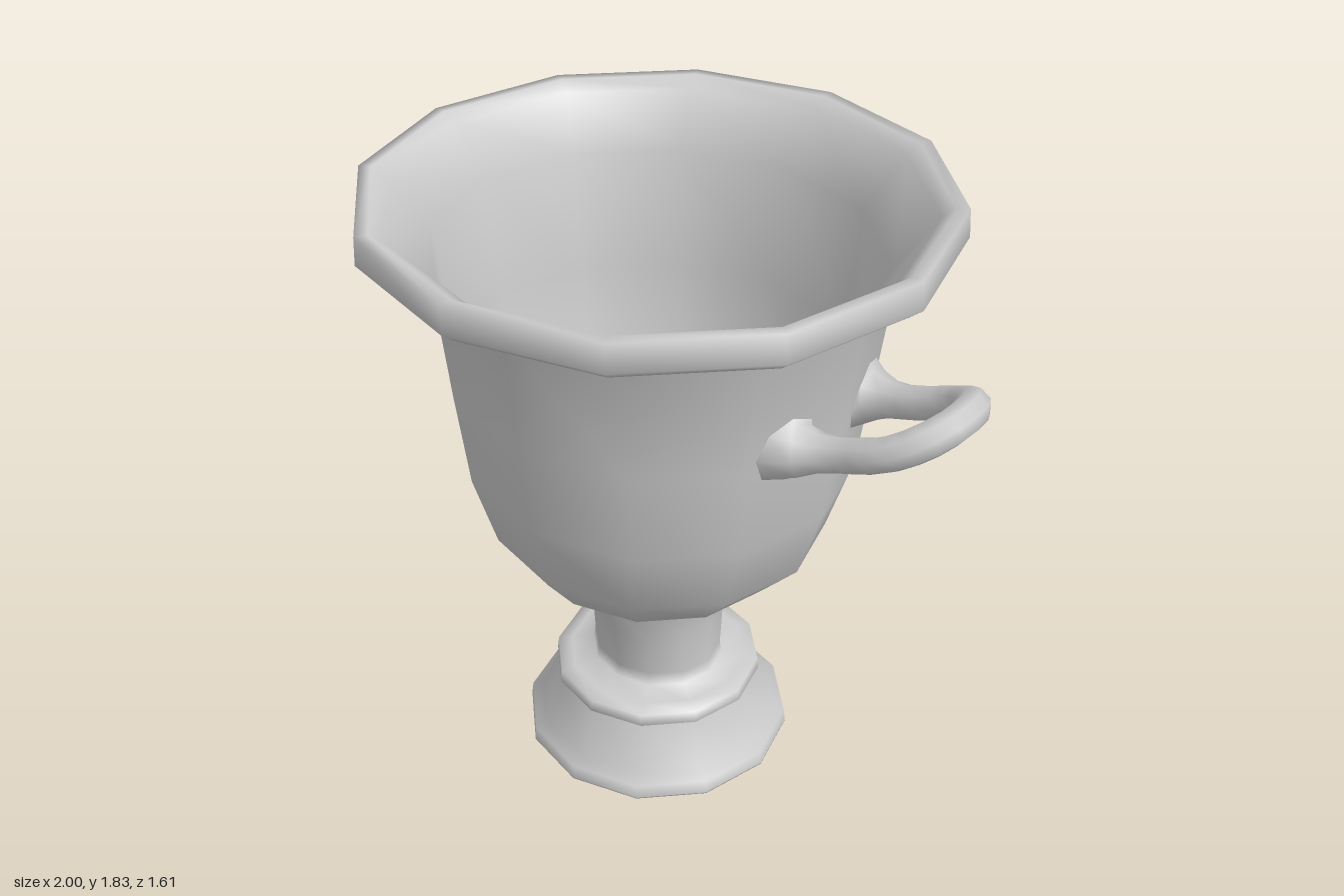
import * as THREE from 'three';
import { mergeVertices } from 'three/addons/utils/BufferGeometryUtils.js';

const material = new THREE.MeshStandardMaterial({ color: 0xcccccc, side: THREE.DoubleSide });
const SIDES = 12;

// Joins seams and shades the whole surface smoothly.
function smoothMesh(name, geometry) {
  geometry.deleteAttribute('uv');
  geometry.deleteAttribute('normal');
  const geo = mergeVertices(geometry, 1e-4);
  geo.computeVertexNormals();
  const mesh = new THREE.Mesh(geo, material);
  mesh.name = name;
  return mesh;
}

// Turned part from rows of [radius, height, depth factor], outside upwards.
function turned(name, profile) {
  const geo = new THREE.LatheGeometry(profile.map(([r, y]) => new THREE.Vector2(r, y)), SIDES);
  const p = geo.attributes.position;
  for (let i = 0; i < p.count; i++) {
    const depth = profile[i % profile.length][2] ?? 1;
    p.setZ(i, p.getZ(i) * depth);
  }
  return smoothMesh(name, geo);
}

// Distance of the bowl's faceted side wall from the middle, near the handles
const wallX = (y, z) => 0.61 + (y - 1.3) * 0.129 - 0.287 * Math.abs(z);

// Looped handle: a tube whose ends swell and stop at the bowl's wall.
function handle(name, side) {
  const half = [
    [0.555, 1.335, 0.172], [0.63, 1.35, 0.163], [0.72, 1.375, 0.154],
    [0.84, 1.425, 0.147], [0.925, 1.48, 0.095],
  ];
  const points = [...half, [0.952, 1.5, 0], ...half.map(([x, y, z]) => [x, y, -z]).reverse()];
  const path = new THREE.CatmullRomCurve3(points.map(([x, y, z]) => new THREE.Vector3(x * side, y, z)));
  const steps = 20, around = 8;
  const geo = new THREE.TubeGeometry(path, steps, 0.048, around);
  const p = geo.attributes.position;
  const v = new THREE.Vector3();
  for (let i = 0; i <= steps; i++) {
    const c = path.getPointAt(i / steps);
    const t = THREE.MathUtils.clamp((0.7 - Math.abs(c.x)) / 0.2, 0, 1);
    for (let j = 0; j <= around; j++) {
      const k = i * (around + 1) + j;
      v.fromBufferAttribute(p, k).sub(c).multiplyScalar(1 + 2.2 * t * t).add(c);
      const wall = wallX(v.y, v.z) - 0.004;
      const atEnd = i === 0 || i === steps;
      p.setXYZ(k, side * (atEnd ? wall : Math.max(v.x * side, wall)), v.y, v.z);
    }
  }
  return smoothMesh(name, geo);
}

export function createModel() {
  const urn = new THREE.Group();
  urn.name = 'urn';

  // Stepped foot with a closed underside, rising into the stem
  urn.add(turned('footAndStem', [
    [0, 0], [0.41, 0], [0.41, 0.004], [0.405, 0.045], [0.37, 0.06], [0.305, 0.21],
    [0.318, 0.213], [0.314, 0.25], [0.27, 0.26], [0.205, 0.268, 0.94],
    [0.2, 0.31, 0.93], [0.203, 0.45, 0.98], [0.222, 0.58, 1.06], [0.25, 0.61, 1.02],
  ]));

  // Bowl: outer wall, overhanging rim, then the thin inner wall down to the floor
  urn.add(turned('bowl', [
    [0.25, 0.61, 1.02], [0.38, 0.67], [0.5, 0.8, 0.96], [0.57, 1.02, 0.95],
    [0.61, 1.3, 0.935], [0.655, 1.65, 0.915], [0.71, 1.72, 0.98],
    [0.78, 1.721, 0.985], [0.815, 1.75, 0.985], [0.808, 1.828, 0.99], [0.775, 1.828, 0.985],
    [0.74, 1.8, 0.98], [0.64, 1.66, 0.92], [0.593, 1.3, 0.935], [0.553, 1.03, 0.95],
    [0.48, 0.82, 0.96], [0.36, 0.695], [0.22, 0.635], [0, 0.62],
  ]));

  urn.add(handle('leftHandle', 1), handle('rightHandle', -1));
  return urn;
}
